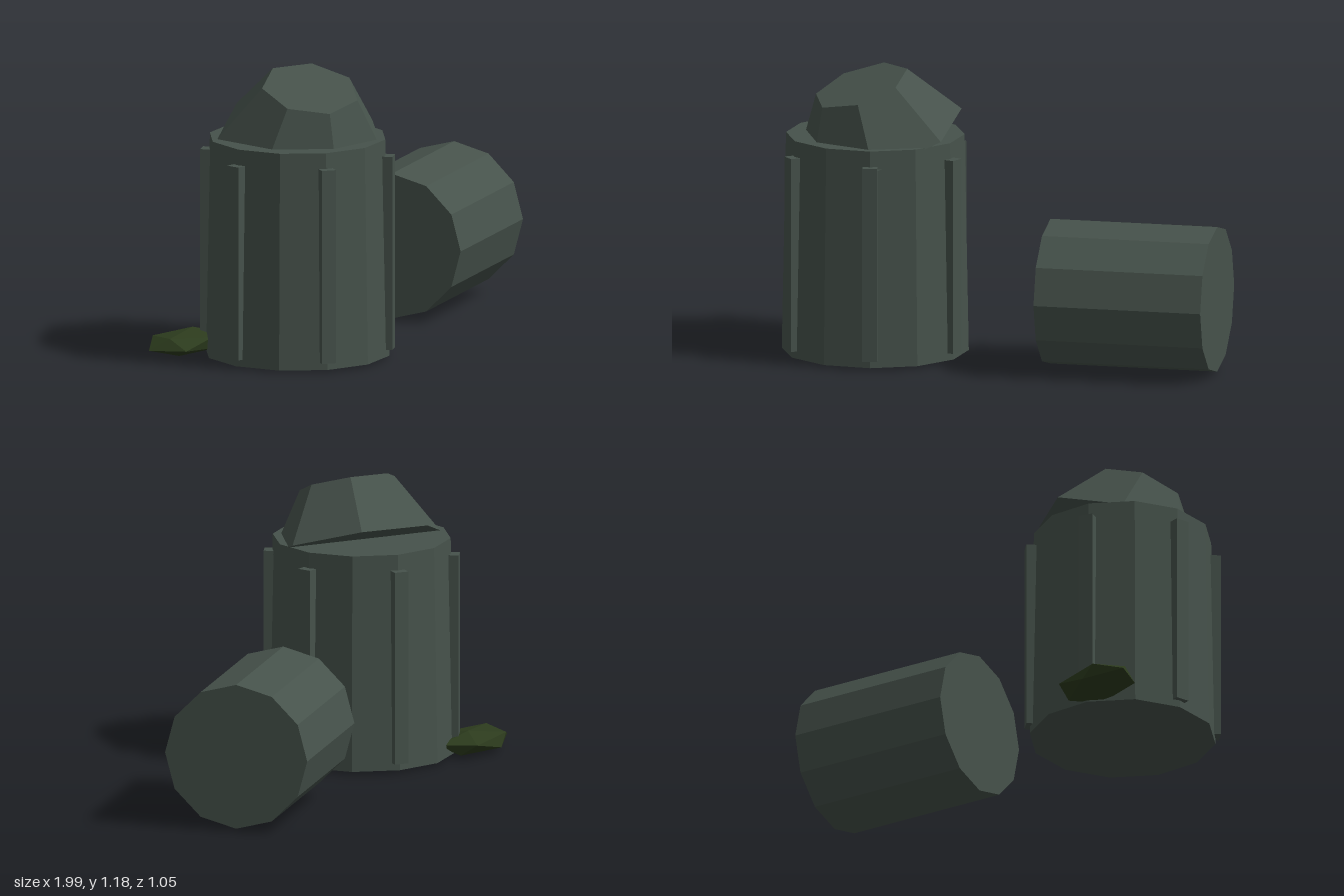
import * as THREE from 'three';

const stone = new THREE.MeshStandardMaterial({ name: 'greenGreyStone', color: 0x46524b, flatShading: true });
const moss = new THREE.MeshStandardMaterial({ name: 'darkMoss', color: 0x2c3b1d, flatShading: true });

function add(parent, name, geometry, material, x, y, z) {
  const mesh = new THREE.Mesh(geometry, material);
  mesh.name = name;
  mesh.position.set(x, y, z);
  parent.add(mesh);
  return mesh;
}

export function createModel() {
  const group = new THREE.Group();
  group.name = 'brokenColumn';

  // Standing column drum, slightly tapered
  const column = new THREE.Group();
  column.name = 'standingColumn';
  column.position.set(-0.51, 0, 0.143);
  group.add(column);
  add(column, 'columnShaft', new THREE.CylinderGeometry(0.363, 0.38, 0.895, 12), stone, 0, 0.4575, 0);

  // Six upright ribs around the shaft
  const ribGeometry = new THREE.BoxGeometry(0.06, 0.8, 0.06);
  for (let i = 0; i < 6; i++) {
    const a = Math.PI / 2 + (i * Math.PI) / 3;
    const rib = add(column, 'rib', ribGeometry, stone, Math.sin(a) * 0.368, 0.44, Math.cos(a) * 0.368);
    rib.rotation.y = a;
  }

  // Tilted seven-sided broken cap
  const cap = add(group, 'brokenCap', new THREE.CylinderGeometry(0.2, 0.355, 0.243, 7), stone, -0.506, 1.001, 0.187);
  const up = new THREE.Vector3(-0.165, 0.935, 0.31).normalize();
  const forward = new THREE.Vector3(0.725, 0.355, -0.59).projectOnPlane(up).normalize();
  const side = new THREE.Vector3().crossVectors(up, forward);
  cap.quaternion.setFromRotationMatrix(new THREE.Matrix4().makeBasis(side, up, forward));

  // Fallen drum lying on its side
  const drumGeometry = new THREE.CylinderGeometry(0.3, 0.3, 0.695, 12).rotateZ(Math.PI / 2);
  const drum = add(group, 'fallenDrum', drumGeometry, stone, 0.567, 0.31, -0.128);
  drum.rotation.y = THREE.MathUtils.degToRad(20);

  // Flattened moss clump at the foot of the column
  const mossGeometry = new THREE.IcosahedronGeometry(1, 0).rotateZ(0.25).rotateY(0.4).scale(0.21, 0.052, 0.13);
  add(group, 'mossClump', mossGeometry, moss, -0.795, 0.05, -0.21);

  return group;
}
